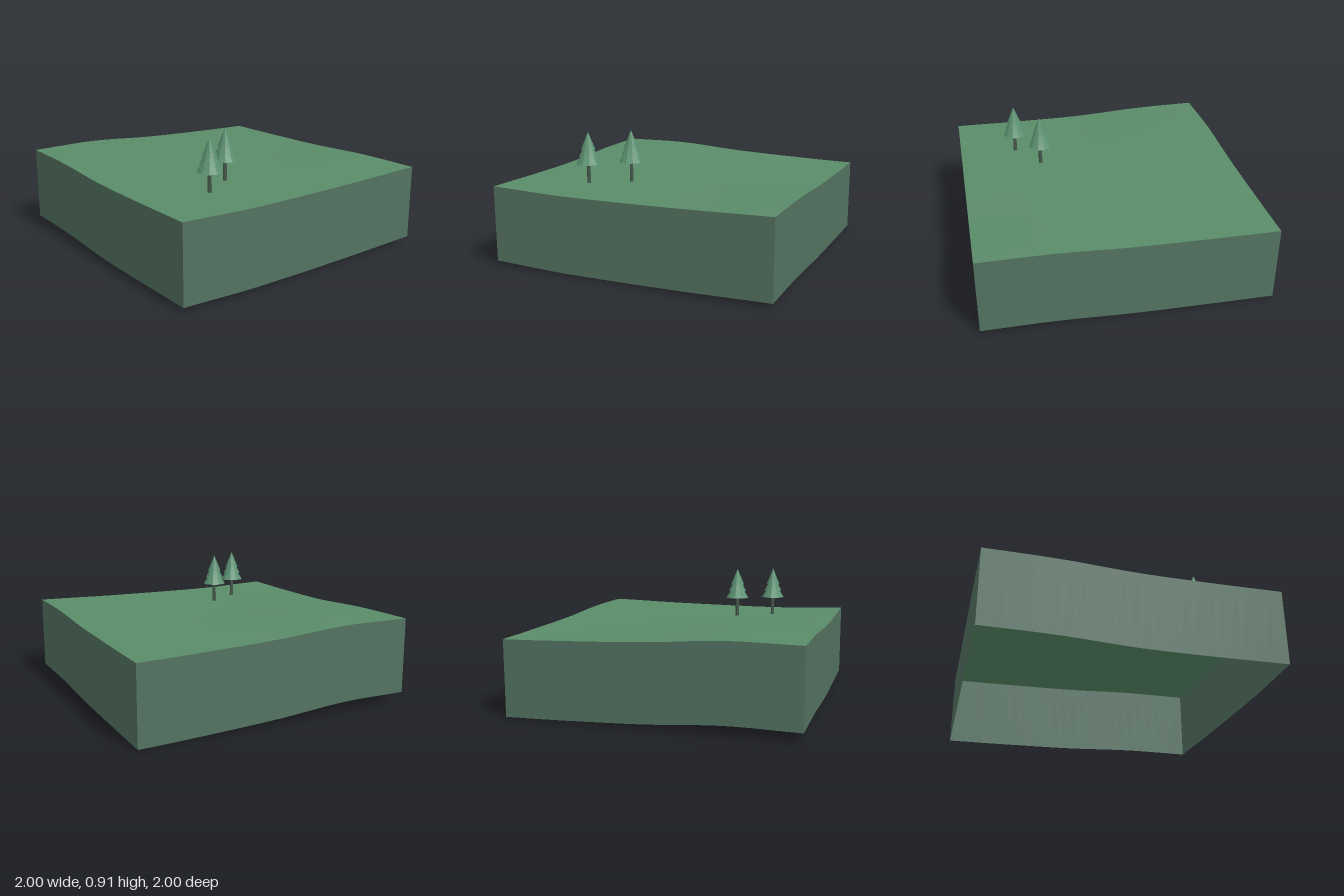
import * as THREE from 'three';

const grass = new THREE.MeshStandardMaterial({ color: 0x5a8c69, side: THREE.DoubleSide });
grass.name = 'grass green';
const earth = new THREE.MeshStandardMaterial({ color: 0x537261, side: THREE.DoubleSide });
earth.name = 'earth grey green';
const needles = new THREE.MeshStandardMaterial({ color: 0x5a9070, flatShading: true });
needles.name = 'needle green';
const bark = new THREE.MeshStandardMaterial({ color: 0x46584c, flatShading: true });
bark.name = 'dark bark';

// Ground heights every half unit: rows run from z = -1 to 1, columns from x = -1 to 1
const HEIGHTS = [
  [0.595, 0.598, 0.564, 0.544, 0.532],
  [0.588, 0.591, 0.561, 0.544, 0.536],
  [0.562, 0.560, 0.550, 0.545, 0.544],
  [0.558, 0.548, 0.548, 0.555, 0.565],
  [0.562, 0.546, 0.547, 0.554, 0.566],
];
const THICKNESS = 0.53;
const SEGMENTS = 24;

// Smooth curve through five evenly spaced values, t from -1 to 1
function smooth(v, t) {
  const s = THREE.MathUtils.clamp((t + 1) * 2, 0, 4);
  const i = Math.min(3, Math.floor(s));
  const f = s - i;
  const b = v[i], c = v[i + 1];
  const a = i > 0 ? v[i - 1] : b;
  const d = i < 3 ? v[i + 2] : c;
  const m0 = (c - a) / 2, m1 = (d - b) / 2;
  return b + f * (m0 + f * (3 * (c - b) - 2 * m0 - m1 + f * (2 * (b - c) + m0 + m1)));
}

const groundHeight = (x, z) => smooth(HEIGHTS.map((row) => smooth(row, x)), z);

// Lay a sheet on the ground curve; points below zero hang one thickness lower
function drape(geometry) {
  const p = geometry.attributes.position;
  for (let i = 0; i < p.count; i++) {
    const drop = p.getY(i) < -0.1 ? THICKNESS : 0;
    p.setY(i, groundHeight(p.getX(i), p.getZ(i)) - drop);
  }
  geometry.computeVertexNormals();
  return geometry;
}

function add(parent, name, geometry, material) {
  const mesh = new THREE.Mesh(geometry, material);
  mesh.name = name;
  parent.add(mesh);
  return mesh;
}

// Fir with a thin trunk and three stacked cones
function createTree(x, z, baseY) {
  const tree = new THREE.Group();
  tree.name = 'firTree';
  const bottom = groundHeight(x, z) - 0.005;
  const trunkHeight = baseY + 0.02 - bottom;
  add(tree, 'trunk', new THREE.CylinderGeometry(0.012, 0.014, trunkHeight, 8), bark)
    .position.y = bottom + trunkHeight / 2;
  const tiers = [[0, 0.086, 0.135], [0.052, 0.067, 0.125], [0.102, 0.051, 0.123]];
  for (const [y, radius, height] of tiers) {
    add(tree, 'foliageTier', new THREE.ConeGeometry(radius, height, 10), needles)
      .position.y = baseY + y + height / 2;
  }
  tree.position.set(x, 0, z);
  return tree;
}

export function createModel() {
  const model = new THREE.Group();
  model.name = 'terrainTile';

  // Rolling ground surface
  const ground = new THREE.PlaneGeometry(2, 2, SEGMENTS, SEGMENTS).rotateX(-Math.PI / 2);
  add(model, 'ground', drape(ground), grass);

  // Four side walls that follow the ground; the underside stays open
  ['front', 'left', 'back', 'right'].forEach((side, k) => {
    const wall = new THREE.PlaneGeometry(2, THICKNESS, SEGMENTS, 1)
      .translate(0, 0, 1).rotateY(k * Math.PI / 2);
    add(model, side + 'Wall', drape(wall), earth);
  });

  // Two trees near the front
  model.add(createTree(-0.5, 0.58, 0.685), createTree(-0.25, 0.415, 0.69));
  return model;
}
